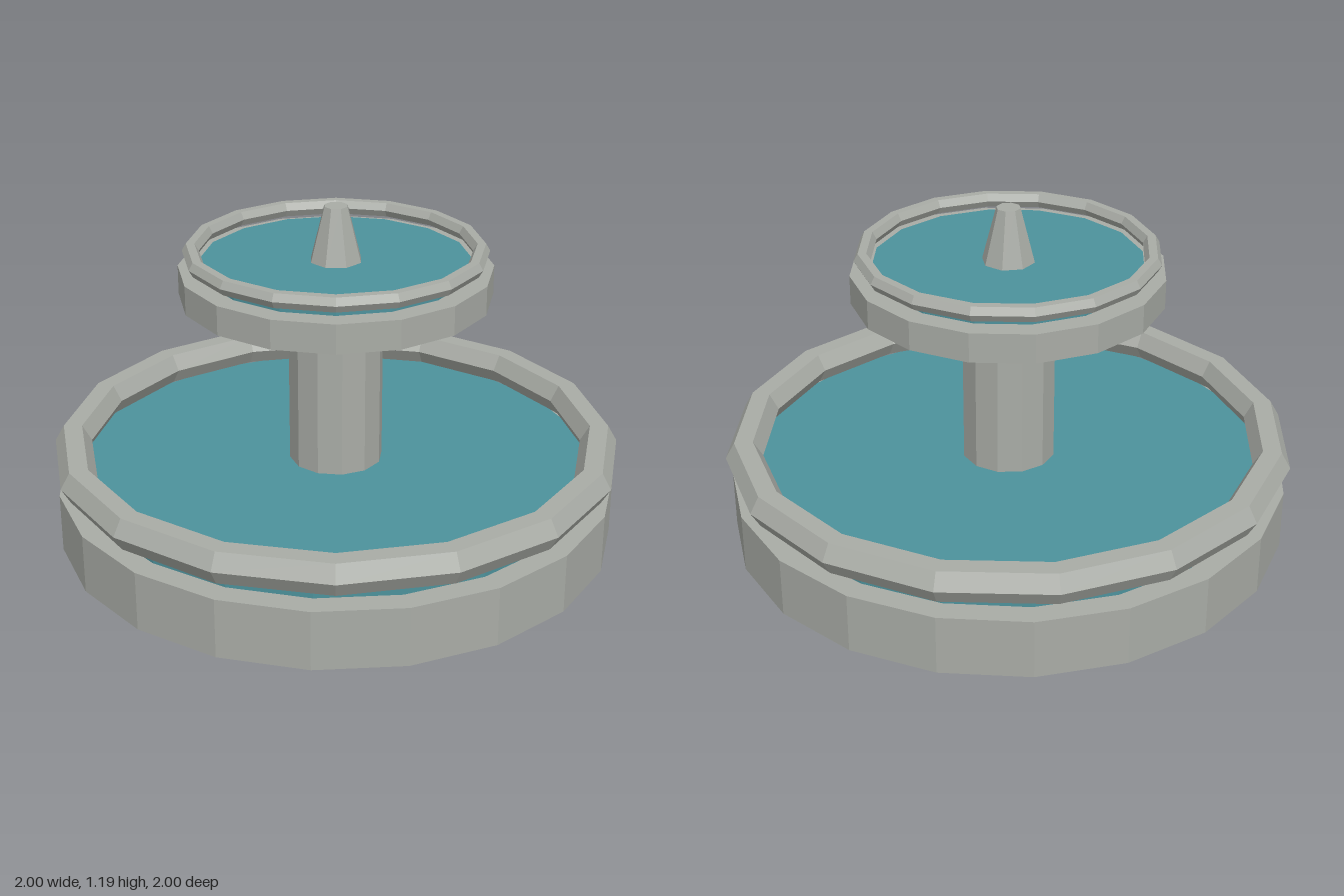
import * as THREE from 'three';

export function createModel() {
  const fountain = new THREE.Group();
  fountain.name = 'fountain';

  const stone = new THREE.MeshStandardMaterial({ color: 0xa9aca6, flatShading: true });
  stone.name = 'stone';
  const water = new THREE.MeshStandardMaterial({ color: 0x4d929c, flatShading: true });
  water.name = 'water';

  function add(name, geometry, material) {
    const mesh = new THREE.Mesh(geometry, material);
    mesh.name = name;
    fountain.add(mesh);
  }

  // Upright drum or cone between two heights
  function drum(name, rTop, rBottom, y0, y1, sides, material) {
    const geometry = new THREE.CylinderGeometry(rTop, rBottom, y1 - y0, sides);
    geometry.translate(0, (y0 + y1) / 2, 0);
    add(name, geometry, material);
  }

  // Flat-lying rim with a hexagonal section
  function rim(name, radius, tube, y) {
    const geometry = new THREE.TorusGeometry(radius, tube, 6, 16);
    geometry.rotateX(Math.PI / 2);
    geometry.translate(0, y, 0);
    add(name, geometry, stone);
  }

  // Lower tier
  drum('lowerBasin', 0.985, 0.985, 0, 0.21, 20, stone);
  drum('lowerWater', 0.905, 0.905, 0.2, 0.26, 20, water);
  rim('lowerRim', 0.935, 0.065, 0.315);

  // Column
  drum('column', 0.165, 0.165, 0.2, 0.88, 12, stone);

  // Upper tier
  drum('upperBasin', 0.54, 0.54, 0.875, 0.977, 16, stone);
  drum('upperWater', 0.467, 0.467, 0.965, 0.998, 16, water);
  rim('upperRim', 0.495, 0.029, 1.03);

  // Spout
  drum('spout', 0.042, 0.092, 0.997, 1.19, 8, stone);

  return fountain;
}
